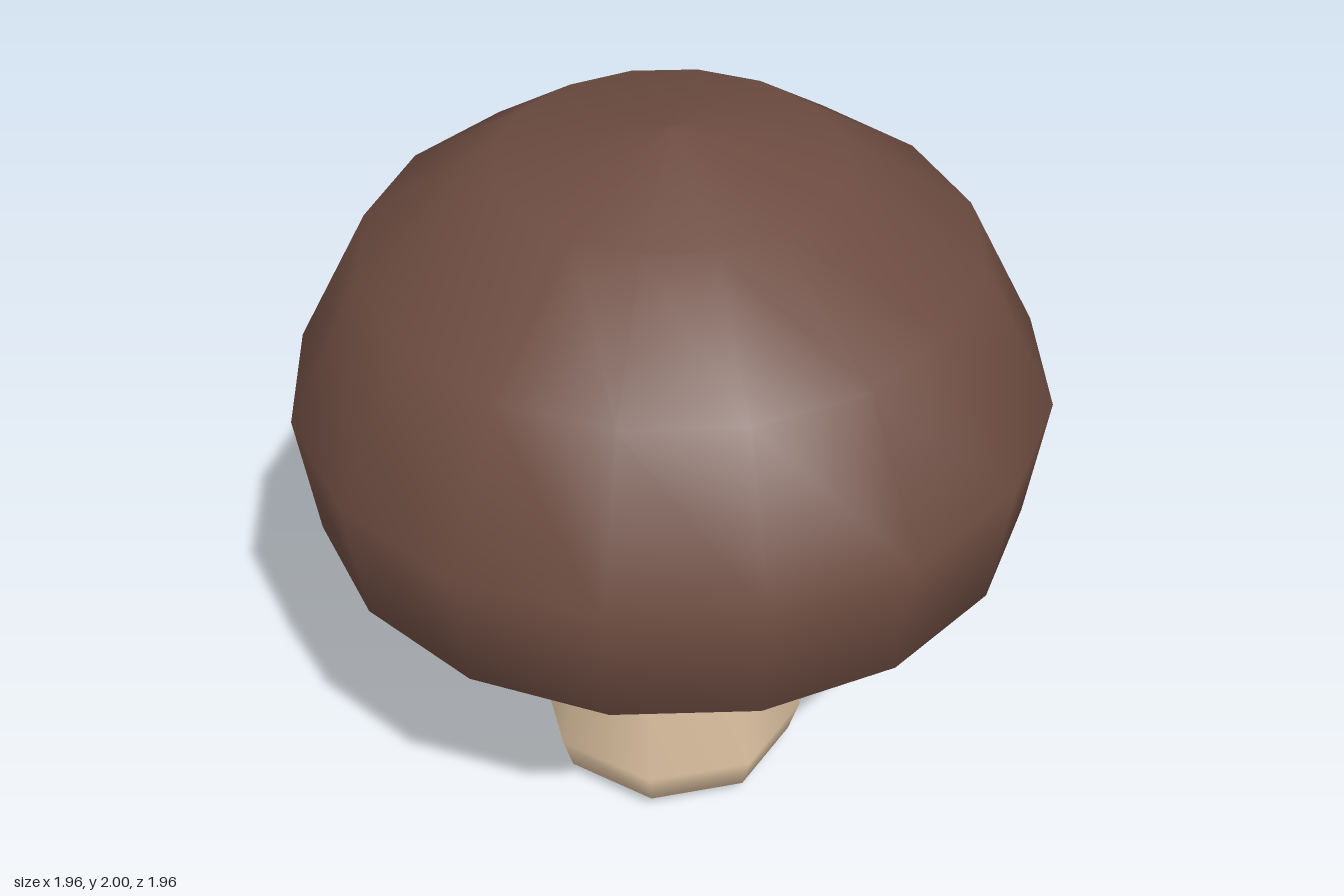
import * as THREE from 'three';

const capBrown = new THREE.MeshStandardMaterial({ color: 0x6d4c41 });
capBrown.name = 'capBrown';
const stemCream = new THREE.MeshStandardMaterial({ color: 0xd9be9e });
stemCream.name = 'stemCream';

// Revolves a list of [radius, height] points, given from bottom to top
function turned(name, profile, sides, material) {
  const points = profile.map(([r, y]) => new THREE.Vector2(r, y));
  const mesh = new THREE.Mesh(new THREE.LatheGeometry(points, sides), material);
  mesh.name = name;
  return mesh;
}

export function createModel() {
  const mushroom = new THREE.Group();
  mushroom.name = 'mushroom';

  // Tapered stem with a rounded foot
  mushroom.add(turned('stem', [
    [0, 0], [0.23, 0], [0.34, 0.05], [0.37, 0.15], [0.26, 0.81],
  ], 8, stemCream));

  // Domed cap with a tucked-in rim
  mushroom.add(turned('cap', [
    [0.72, 0.81], [0.93, 0.93], [0.98, 1.28], [0.785, 1.67], [0.435, 1.915], [0, 2],
  ], 16, capBrown));

  // Flat pale underside closing the cap
  const underside = new THREE.Mesh(
    new THREE.CircleGeometry(0.72, 16).rotateX(Math.PI / 2), stemCream);
  underside.name = 'capUnderside';
  underside.position.y = 0.81;
  mushroom.add(underside);

  return mushroom;
}
